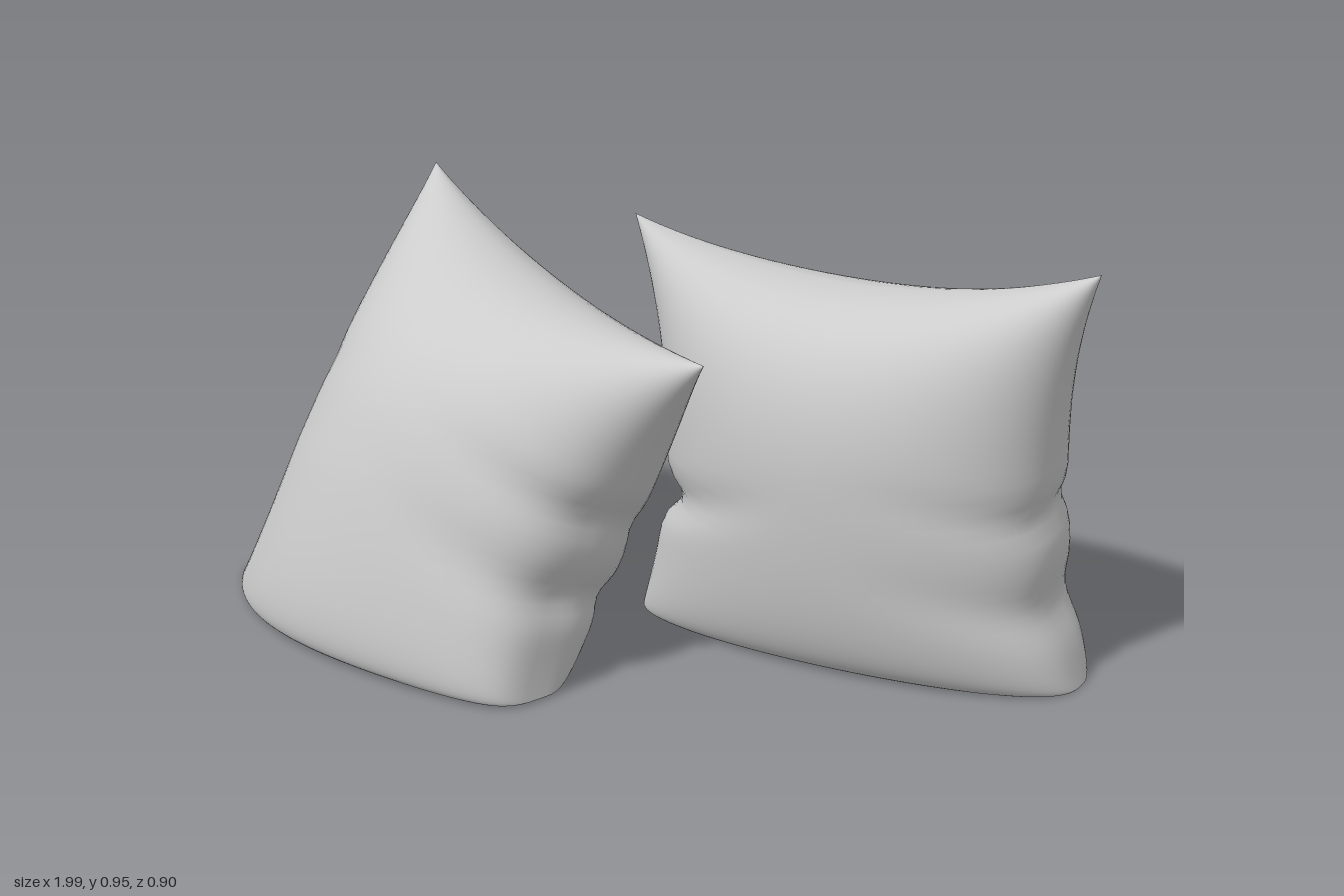
import * as THREE from 'three';
import { mergeVertices } from 'three/addons/utils/BufferGeometryUtils.js';

const V = (x, y, z) => new THREE.Vector3(x, y, z);
const { lerp } = THREE.MathUtils;

// Lofts a stuffed cushion between four seam corners; u runs left to right, v bottom to top.
// Each face has a depth, a base width (share of depth on the ground), a top taper,
// and left / right exponents (small is blunt, large is pointed).
function cushionGeometry({ corners, pinch, front, back, folds }) {
  const [bl, br, tl, tr] = corners;
  const N = 48, M = 48;
  const uDir = br.clone().sub(bl).add(tr).sub(tl);
  const vDir = tl.clone().sub(bl).add(tr).sub(br);
  const normal = uDir.clone().cross(vDir).normalize();
  const flat = V(normal.x, 0, normal.z).normalize();

  function point(u, v, side, capScale) {
    const face = side > 0 ? front : back;
    const mid = Math.max(0, 1 - v * v);
    // Seams pull inwards between the corners, more so at the folds
    let pull = (u < 0 ? pinch.left : pinch.right) * mid, squeeze = 1;
    for (const f of folds) {
      if (f.side * u <= 0) continue;
      const slope = (v - f.v - 0.25 * (1 - Math.abs(u)) * side) / f.width;
      const g = Math.exp(-slope * slope);
      pull += f.depth * g * u ** 4;
      squeeze -= f.depth * 1.6 * g * u * u;
    }
    const uu = u * (1 - pull);
    const vv = v > 0 ? v * (1 - pinch.top * (1 - u * u) * v) : v;
    const s = (uu + 1) / 2, t = (vv + 1) / 2;
    const p = bl.clone().lerp(br, s).lerp(tl.clone().lerp(tr, s), t);
    // Plump profile: thin at the seams, rounded off where it rests on the ground
    const blunt = lerp(lerp(face.left, face.right, (u + 1) / 2), 0.55, (v + 1) / 2);
    const across = Math.max(0, 1 - u * u) ** blunt;
    const b2 = face.base ** 2;
    const along = v > 0 ? mid ** face.taper : Math.sqrt(b2 + (1 - b2) * mid ** 0.5);
    const depth = face.depth * across * along * squeeze * capScale * side;
    // Depth runs level at the ground and along the tilted normal higher up
    p.addScaledVector(flat.clone().lerp(normal, Math.min(1, (1 + v) * 1.4)), depth);
    p.y = Math.max(p.y, 0.004);
    return p;
  }

  // Underside rows first, then the rows up to the top seam
  const rows = [[-1, 0], [-1, 0.5], [-1, 0.85]];
  for (let j = 0; j <= M; j++) rows.push([-Math.cos(Math.PI * j / M), 1]);
  const pos = [], index = [], ring = 2 * N;
  for (const [v, cap] of rows) {
    for (let i = 0; i < ring; i++) {
      const k = i <= N ? i : ring - i;
      const p = point(-Math.cos(Math.PI * k / N), v, i <= N ? 1 : -1, cap);
      pos.push(p.x, p.y, p.z);
    }
  }
  for (let j = 0; j < rows.length - 1; j++) {
    for (let i = 0; i < ring; i++) {
      const a = j * ring + i, b = j * ring + (i + 1) % ring;
      index.push(a, b, b + ring, a, b + ring, a + ring);
    }
  }
  const geo = new THREE.BufferGeometry();
  geo.setAttribute('position', new THREE.Float32BufferAttribute(pos, 3));
  geo.setIndex(index);
  const welded = mergeVertices(geo, 1e-5);
  welded.computeVertexNormals();
  return welded;
}

export function createModel() {
  const group = new THREE.Group();
  group.name = 'cushions';
  const fabric = new THREE.MeshStandardMaterial({ color: 0xcccccc });
  fabric.name = 'light grey fabric';

  // Cushion leaning back, turned to one side
  const leaning = new THREE.Mesh(cushionGeometry({
    corners: [V(-1, 0.01, -0.17), V(-0.11, 0.01, 0.36), V(-0.59, 0.955, -0.41), V(0.21, 0.75, 0.28)],
    pinch: { left: 0.1, right: 0.13, top: 0.12 },
    front: { depth: 0.3, base: 0.62, taper: 0.55, left: 0.85, right: 0.25 },
    back: { depth: 0.32, base: 0.45, taper: 0.5, left: 0.75, right: 0.4 },
    folds: [
      { side: 1, v: 0.0, depth: 0.04, width: 0.1 },
      { side: 1, v: -0.45, depth: 0.05, width: 0.12 },
      { side: -1, v: 0.05, depth: 0.02, width: 0.1 },
    ],
  }), fabric);
  leaning.name = 'leaningCushion';

  // Cushion standing upright
  const upright = new THREE.Mesh(cushionGeometry({
    corners: [V(-0.04, 0.005, -0.26), V(0.98, 0.005, 0), V(-0.06, 0.93, -0.19), V(0.985, 0.94, 0.06)],
    pinch: { left: 0.17, right: 0.14, top: 0.2 },
    front: { depth: 0.28, base: 0.6, taper: 0.45, left: 0.35, right: 0.35 },
    back: { depth: 0.34, base: 0.5, taper: 0.7, left: 0.3, right: 0.35 },
    folds: [
      { side: -1, v: -0.32, depth: 0.1, width: 0.1 },
      { side: 1, v: -0.15, depth: 0.04, width: 0.08 },
      { side: 1, v: -0.6, depth: 0.05, width: 0.14 },
    ],
  }), fabric);
  upright.name = 'uprightCushion';

  group.add(leaning, upright);
  return group;
}
